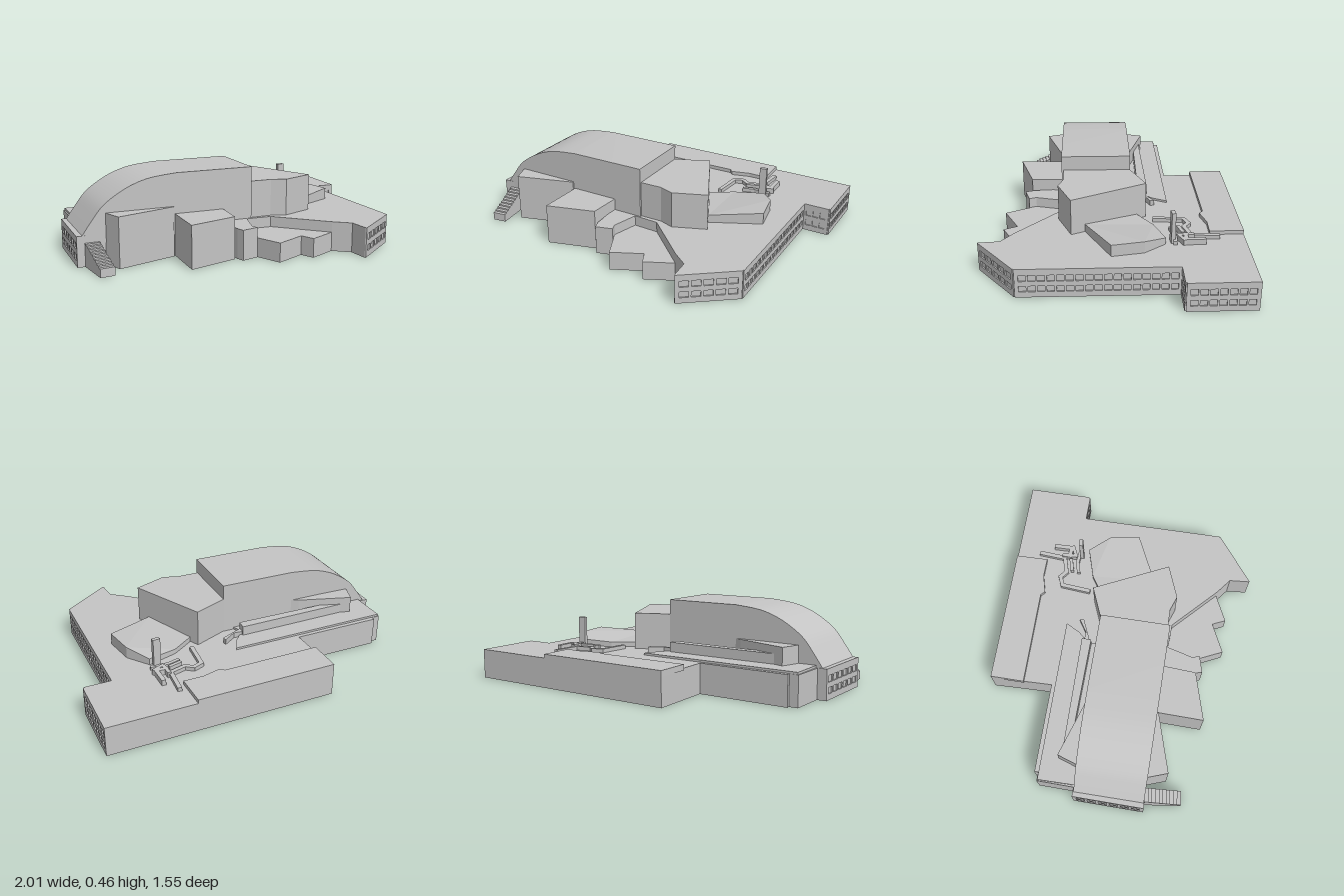
import * as THREE from 'three';
import { toCreasedNormals } from 'three/addons/utils/BufferGeometryUtils.js';

const BASE = 0.168;
const TILT = -0.127; // the vaulted hall sits slightly turned on the plan

export function createModel() {
  const model = new THREE.Group();
  model.name = 'building';
  const grey = new THREE.MeshStandardMaterial({ color: 0xc4c4c4 });
  grey.name = 'pale grey';

  const add = (name, geometry, parent = model) => {
    const mesh = new THREE.Mesh(geometry, grey);
    mesh.name = name;
    parent.add(mesh);
    return mesh;
  };

  // Upright prism over a plan outline of [x, z] points
  const prism = (name, plan, y0, y1) => {
    const shape = new THREE.Shape(plan.map(([x, z]) => new THREE.Vector2(x, -z)));
    const g = new THREE.ExtrudeGeometry(shape, { depth: y1 - y0, bevelEnabled: false });
    g.rotateX(-Math.PI / 2).translate(0, y0, 0);
    return add(name, g);
  };

  // Main storey block
  prism('mainBlock', [
    [-0.27, -0.775], [1, -0.62], [0.955, -0.25], [0.8, -0.27], [0.695, 0.59],
    [0.395, 0.765], [0.4, 0.65], [0.32, 0.57], [0.095, 0.295], [-0.05, 0.27],
    [-0.11, 0.42], [-0.21, 0.43], [-0.2, 0.26], [-0.48, 0.2], [-0.85, 0.155],
    [-1, 0.145], [-0.945, -0.26], [-0.9, -0.255], [-0.87, -0.465],
    [-0.82, -0.458], [-0.82, -0.48], [-0.305, -0.415],
  ], 0, BASE);

  // Lower blocks along the front
  prism('lowFrontBlock', [
    [-0.11, 0.42], [-0.05, 0.605], [0.13, 0.545], [0.155, 0.625],
    [0.32, 0.57], [0.095, 0.295], [-0.05, 0.27],
  ], 0, 0.108);
  prism('entranceBox', [[-0.21, 0.42], [-0.2, 0.475], [-0.1, 0.46], [-0.11, 0.41]], 0, BASE);
  prism('middleFrontBlock', [[-0.51, 0.475], [-0.225, 0.43], [-0.19, 0.24], [-0.47, 0.2]], 0, 0.237);
  prism('leftFrontBlock', [[-0.855, 0.14], [-0.825, 0.275], [-0.48, 0.215], [-0.47, 0.15]], 0, 0.278);

  // Tall block at the end of the vault
  prism('tallBlock', [
    [-0.15, -0.14], [0.03, -0.128], [0.235, -0.185], [0.385, 0.26],
    [0.19, 0.31], [0.11, 0.27], [-0.15, 0.24],
  ], 0.1, 0.378);

  // Vaulted hall, its side profile extruded across the hall
  const curve = new THREE.SplineCurve([
    [-0.95, BASE], [-0.9, 0.238], [-0.838, 0.315], [-0.757, 0.374],
    [-0.67, 0.418], [-0.57, 0.447], [-0.43, 0.462],
  ].map(([x, y]) => new THREE.Vector2(x, y)));
  const profile = new THREE.Shape([
    ...curve.getPoints(36), new THREE.Vector2(0.015, 0.463), new THREE.Vector2(0.015, 0.12),
    new THREE.Vector2(-0.95, 0.12),
  ]);
  const vault = new THREE.ExtrudeGeometry(profile, { depth: 0.4, bevelEnabled: false });
  vault.translate(0, 0, -0.133);
  add('vaultedHall', toCreasedNormals(vault, 0.35)).rotation.y = TILT;

  // Raised roof areas
  prism('rearRaisedRoof', [[-0.27, -0.775], [0.52, -0.679], [0.5, -0.49], [0.39, -0.505],
    [0.28, -0.49], [0.26, -0.515], [-0.295, -0.58]], BASE - 0.01, 0.19);
  prism('wingRaisedRoof', [[-0.865, -0.46], [0.08, -0.345], [0.03, -0.27], [-0.05, -0.2],
    [-0.03, -0.13], [-0.89, -0.245]], BASE - 0.01, 0.18);
  prism('roofWedge', [[-0.74, -0.345], [-0.79, -0.24], [-0.4, -0.18], [-0.45, -0.21]], 0.16, 0.277);
  prism('roofBar', [[-0.685, -0.32], [-0.03, -0.245], [-0.04, -0.19], [-0.58, -0.265]], 0.16, 0.235);
  prism('roofLeaf', [[-0.05, -0.195], [-0.03, -0.235], [0.02, -0.225], [0.1, -0.265],
    [0.1, -0.24]], 0.16, 0.2);

  // Pavilion with a gently sloping roof
  const pavilion = prism('pavilion', [
    [0.255, -0.13], [0.39, -0.2], [0.565, -0.23], [0.64, -0.1], [0.65, 0.08], [0.36, 0.18],
  ], 0.12, 0.235).geometry;
  const p = pavilion.attributes.position;
  for (let i = 0; i < p.count; i++) {
    if (p.getY(i) < 0.2) continue;
    p.setY(i, 0.235 - 0.09 * Math.max(0, 0.6 - p.getX(i)) - 0.2 * Math.max(0, -0.1 - p.getZ(i)));
  }
  pavilion.computeVertexNormals();

  // Low winding walls on the rear roof
  const wall = (name, path, width, top) => {
    for (let i = 1; i < path.length; i++) {
      const [ax, az] = path[i - 1], [bx, bz] = path[i];
      const dx = bx - ax, dz = bz - az;
      const m = add(name, new THREE.BoxGeometry(Math.hypot(dx, dz) + width * 0.5, top - 0.16, width));
      m.position.set((ax + bx) / 2, (top + 0.16) / 2, (az + bz) / 2);
      m.rotation.y = Math.atan2(-dz, dx);
    }
  };
  wall('windingWall', [[0.295, -0.22], [0.33, -0.385], [0.385, -0.4], [0.42, -0.365], [0.515, -0.38], [0.545, -0.53]], 0.024, 0.19);
  wall('hookedWall', [[0.59, -0.44], [0.58, -0.34], [0.52, -0.35]], 0.024, 0.2);
  wall('shortWall', [[0.43, -0.33], [0.5, -0.34]], 0.02, 0.2);
  wall('shortWall', [[0.42, -0.29], [0.485, -0.3], [0.58, -0.28]], 0.02, 0.19);
  wall('crossWall', [[0.53, -0.39], [0.525, -0.31], [0.59, -0.33]], 0.02, 0.2);

  // Chimney slab
  add('chimney', new THREE.BoxGeometry(0.042, 0.19, 0.022)).position.set(0.543, 0.252, -0.272);

  // Outer stair down to the ground
  const steps = 10;
  for (let i = 0; i < steps; i++) {
    const h = 0.128 - i * 0.009;
    add('stairStep', new THREE.BoxGeometry(0.08, h, 0.022))
      .position.set(-0.925, h / 2, 0.16 + i * 0.021);
  }

  // Window walls: a thin panel with two rows of openings, from a to b as seen from outside
  const facade = (name, [ax, az], [bx, bz], count) => {
    const length = Math.hypot(bx - ax, bz - az);
    const shape = new THREE.Shape([[0, 0], [length, 0], [length, BASE], [0, BASE]]
      .map(([x, y]) => new THREE.Vector2(x, y)));
    const margin = 0.015, pitch = (length - 2 * margin) / count, half = pitch * 0.39;
    for (const [y0, y1] of [[0.033, 0.067], [0.095, 0.131]]) {
      for (let i = 0; i < count; i++) {
        const c = margin + (i + 0.5) * pitch;
        shape.holes.push(new THREE.Path([[c - half, y0], [c - half, y1], [c + half, y1], [c + half, y0]]
          .map(([x, y]) => new THREE.Vector2(x, y))));
      }
    }
    const m = add(name, new THREE.ExtrudeGeometry(shape, { depth: 0.007, bevelEnabled: false }));
    m.position.set(ax, 0, az);
    m.rotation.y = Math.atan2(az - bz, bx - ax);
  };
  facade('frontWindowWall', [0.395, 0.765], [0.695, 0.59], 5);
  facade('longWindowWall', [0.695, 0.59], [0.8, -0.27], 17);
  facade('cornerWindowWall', [0.8, -0.27], [0.955, -0.25], 3);
  facade('sideWindowWall', [0.955, -0.25], [1, -0.62], 7);
  facade('endWindowWall', [-0.945, -0.26], [-1, 0.145], 6);

  return model;
}
